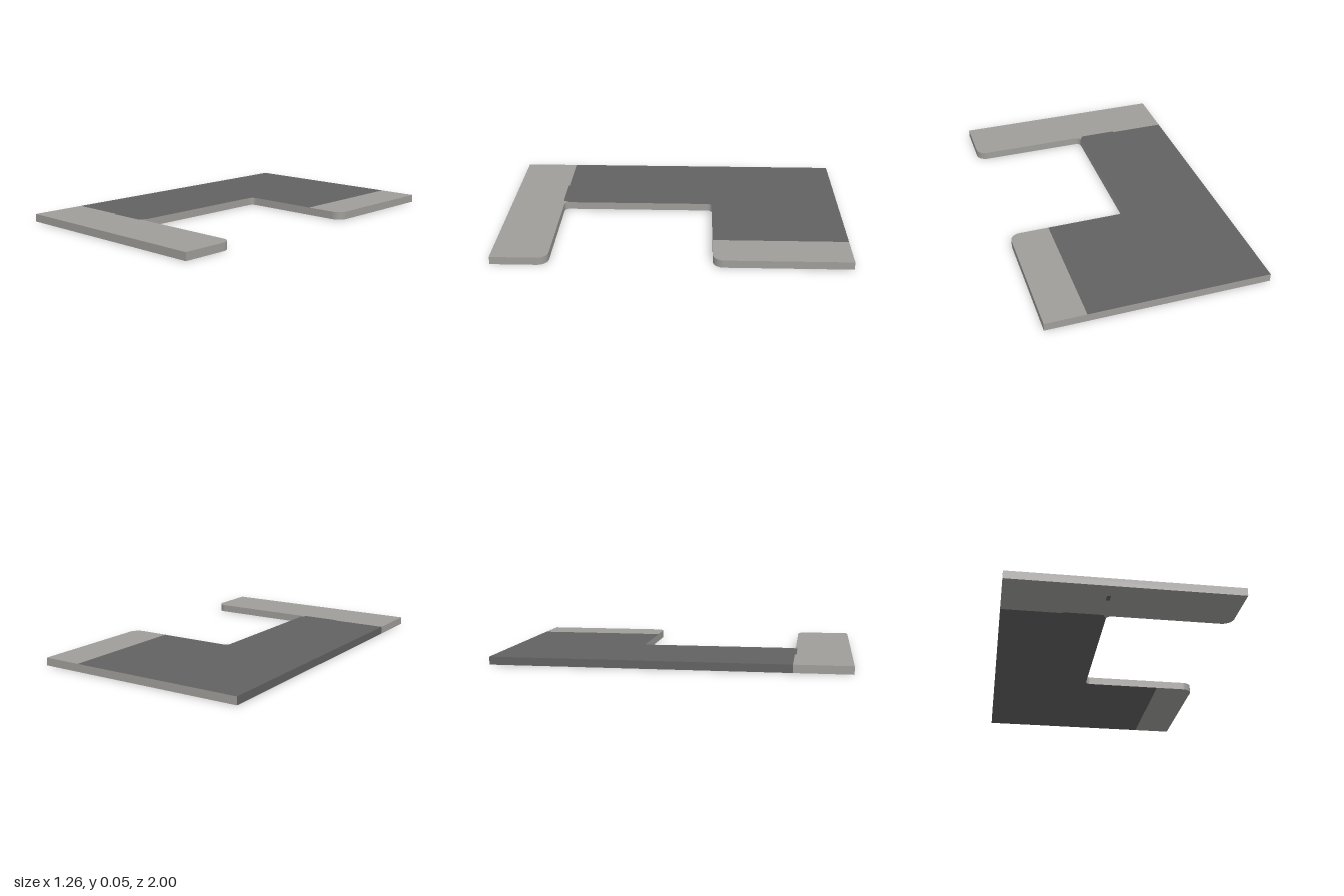
import * as THREE from 'three';

const H = 0.045; // slab thickness

// Rounded corner in the x-z plane, as a list of points
function arc(cx, cz, r, a0, a1, n = 10) {
  return Array.from({ length: n + 1 }, (_, i) => {
    const a = a0 + ((a1 - a0) * i) / n;
    return new THREE.Vector2(cx + r * Math.cos(a), cz + r * Math.sin(a));
  });
}
const pts = (...list) => list.map(([x, z]) => new THREE.Vector2(x, z));

// Flat face over an x-z outline, facing up or down
function cap(outline, y, up) {
  const p = up ? outline.map((v) => new THREE.Vector2(v.x, -v.y)) : outline;
  const g = new THREE.ShapeGeometry(new THREE.Shape(p));
  g.rotateX(up ? -Math.PI / 2 : Math.PI / 2);
  return g.translate(0, y, 0);
}

// Upright wall along an open strip of x-z points
function wall(strip) {
  const pos = [];
  for (let i = 0; i < strip.length - 1; i++) {
    const a = strip[i], b = strip[i + 1];
    pos.push(a.x, 0, a.y, a.x, H, a.y, b.x, H, b.y);
    pos.push(a.x, 0, a.y, b.x, H, b.y, b.x, 0, b.y);
  }
  const g = new THREE.BufferGeometry();
  g.setAttribute('position', new THREE.Float32BufferAttribute(pos, 3));
  g.computeVertexNormals();
  return g;
}

export function createModel() {
  const light = new THREE.MeshStandardMaterial({ color: 0x9f9e9a });
  light.name = 'light grey';
  const dark = new THREE.MeshStandardMaterial({ color: 0x626262 });
  dark.name = 'dark grey';

  const model = new THREE.Group();
  model.name = 'slab';
  const add = (name, geometry, material) => {
    const m = new THREE.Mesh(geometry, material);
    m.name = name;
    model.add(m);
  };

  // Rounded corners of the two arms and of the recess between them
  const q = Math.PI / 2;
  const backOuter = arc(0.57, -0.29, 0.06, 0, q);
  const backInner = arc(-0.03, -0.2, 0.03, -q, -2 * q);
  const frontInner = arc(-0.03, 0.65, 0.03, 2 * q, q);
  const frontOuter = arc(0.57, 0.74, 0.06, -q, 0);

  // Surface regions, top and bottom
  const regions = [
    ['mainPanel', dark, [
      ...pts([-0.63, -1], [0.4, -1], [0.4, -0.23]), ...backInner,
      ...pts([-0.06, 0.65], [-0.08, 0.69], [-0.3, 0.69], [-0.3, 0.68], [-0.63, 0.68])]],
    ['backArmEnd', light, [
      ...pts([0.4, -1], [0.63, -1]), ...backOuter, ...pts([0.4, -0.23])]],
    ['frontArm', light, [
      ...pts([-0.63, 0.68], [-0.3, 0.68], [-0.3, 0.69], [-0.08, 0.69]),
      ...frontInner, ...frontOuter, ...pts([0.63, 1], [-0.63, 1])]],
  ];
  for (const [name, material, outline] of regions) {
    add(name + 'Top', cap(outline, H, true), material);
    add(name + 'Bottom', cap(outline, 0, false), material);
  }

  // Edge band: light all round except the long straight side of the panel
  add('edgeBand', wall([
    ...pts([-0.63, -1], [0.63, -1]), ...backOuter, ...backInner,
    ...frontInner, ...frontOuter, ...pts([0.63, 1], [-0.63, 1], [-0.63, 0.68])]), light);
  add('panelSide', wall(pts([-0.63, 0.68], [-0.63, -1])), dark);

  // Small mark on the underside of the front arm
  const mark = pts([-0.09, 0.85], [-0.07, 0.85], [-0.07, 0.9], [-0.09, 0.9]);
  add('undersideMark', cap(mark, -0.001, false), dark);

  return model;
}
